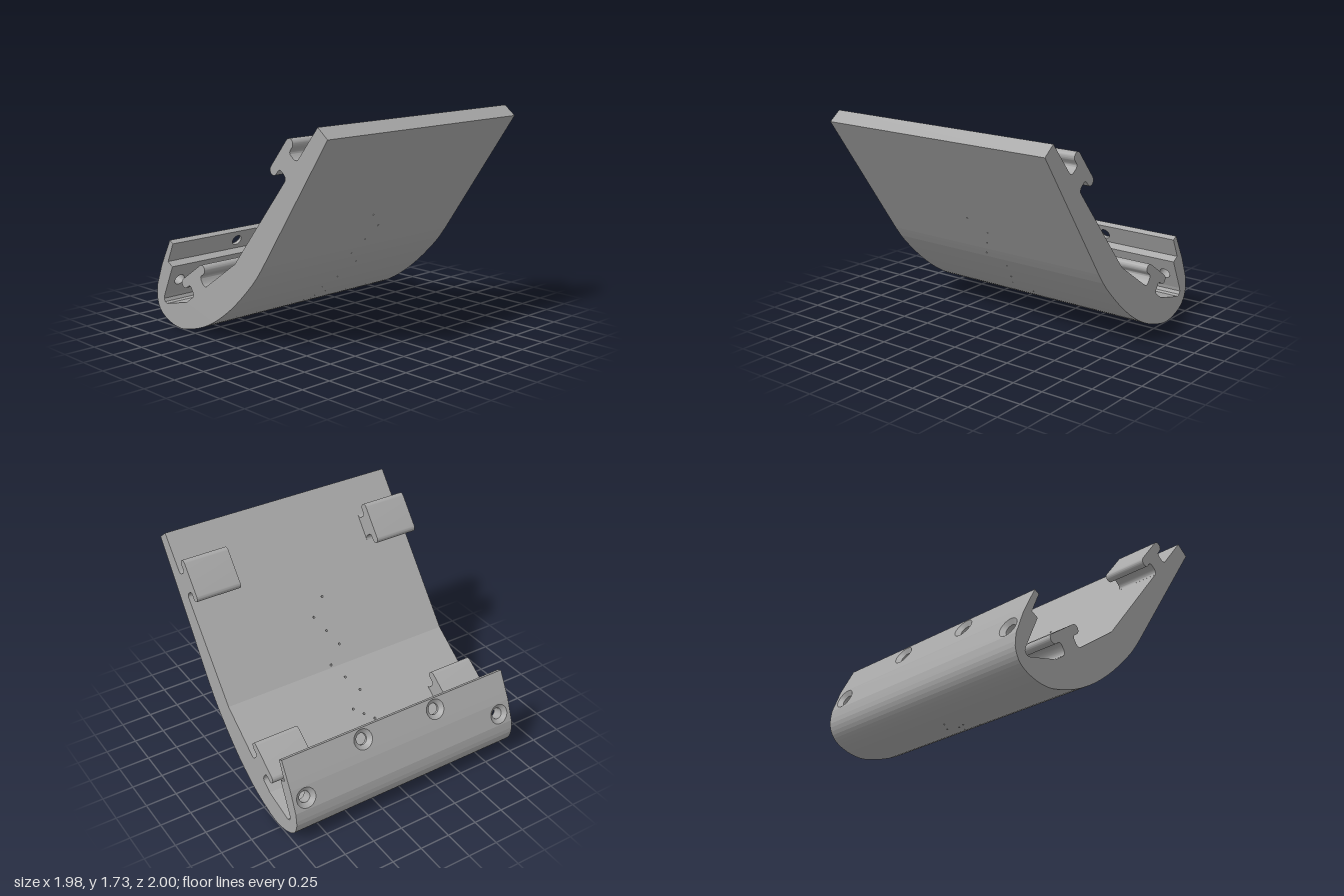
import * as THREE from 'three';
import { mergeGeometries, toCreasedNormals } from 'three/addons/utils/BufferGeometryUtils.js';

const V2 = (x, y) => new THREE.Vector2(x, y);
const HALF = 1; // half the length along z
const SIDES = 20; // sides of every bored hole

// Side profile, counter-clockwise: inner face, lip, then the curved underside
function profilePoints() {
  const inner = [
    [0.89, 1.73], [0, 0.64], [-0.6, 0.228], [-0.86, 0.165], [-0.885, 0.175], [-0.897, 0.2], [-0.89, 0.228],
    [-0.775, 0.48], [-0.83, 0.513], [-0.76, 0.667], [-0.8, 0.69], [-0.885, 0.53], [-0.914, 0.475],
  ].map(p => V2(...p));
  const under = new THREE.SplineCurve([
    [-0.98, 0.305], [-0.99, 0.2], [-0.96, 0.115], [-0.9, 0.058], [-0.8, 0.016], [-0.7, 0], [-0.6, 0.01],
    [-0.4, 0.07], [-0.2, 0.177], [0, 0.33], [0.2, 0.525], [0.31, 0.665],
  ].map(p => V2(...p))).getPoints(33);
  return [...inner, ...under, V2(0.985, 1.655)];
}

// One flat wall per profile edge: start a, direction d, outward normal n
function makeWalls(pts) {
  return pts.map((a, i) => {
    const d = pts[(i + 1) % pts.length].clone().sub(a);
    const length = d.length();
    d.normalize();
    return { a, d, n: V2(d.y, -d.x), length, holes: [] };
  });
}

// Cut a round opening in a wall and return its position along the wall
function punch(wall, u, z, r) {
  const margin = r + 0.002;
  const s = Math.min(Math.max(u, margin), wall.length - margin);
  wall.holes.push({ s, z, r });
  return s;
}

function ring(wall, s, z, r, inset, sign) {
  return Array.from({ length: SIDES }, (_, i) => {
    const t = (i / SIDES) * Math.PI * 2;
    const p = wall.a.clone().addScaledVector(wall.d, s + sign * r * Math.cos(t)).addScaledVector(wall.n, -inset);
    return new THREE.Vector3(p.x, p.y, z + r * Math.sin(t));
  });
}

// Bore from one wall straight through to the opposite one; steps are extra [inset, radius] rings
function drill(walls, wall, u, z, rIn, rOut, steps = []) {
  const s = punch(wall, u, z, rIn);
  const p = wall.a.clone().addScaledVector(wall.d, s);
  const dir = wall.n.clone().negate();
  let best = null;
  for (const w of walls) {
    const denom = dir.dot(w.n);
    if (w === wall || denom < 1e-4) continue;
    const t = w.a.clone().sub(p).dot(w.n) / denom;
    const along = p.clone().addScaledVector(dir, t).sub(w.a).dot(w.d);
    if (t > 0.01 && along >= 0 && along <= w.length && (!best || t < best.t)) best = { w, t, along };
  }
  const sOut = punch(best.w, best.along, z, rOut);
  const rings = [ring(wall, s, z, rIn, 0, 1)];
  for (const [inset, r] of steps) rings.push(ring(wall, s, z, r, inset, 1));
  rings.push(ring(best.w, sOut, z, rOut, 0, Math.sign(best.w.d.dot(wall.d))));
  const index = [];
  for (let k = 0; k < rings.length - 1; k++) {
    for (let i = 0; i < SIDES; i++) {
      const j = (i + 1) % SIDES, a = k * SIDES, b = a + SIDES;
      index.push(a + i, a + j, b + i, a + j, b + j, b + i);
    }
  }
  const g = new THREE.BufferGeometry().setFromPoints(rings.flat());
  g.setIndex(index);
  return toCreasedNormals(g, 0.5);
}

function wallGeometry({ a, d, n, length, holes }) {
  const shape = new THREE.Shape([V2(0, -HALF), V2(length, -HALF), V2(length, HALF), V2(0, HALF)]);
  for (const h of holes) shape.holes.push(new THREE.Path().absarc(h.s, h.z, h.r, 0, Math.PI * 2));
  const m = new THREE.Matrix4().makeBasis(
    new THREE.Vector3(d.x, d.y, 0), new THREE.Vector3(0, 0, 1), new THREE.Vector3(n.x, n.y, 0));
  m.setPosition(a.x, a.y, 0);
  return new THREE.ShapeGeometry(shape, SIDES / 2).applyMatrix4(m);
}

function endCaps(pts) {
  const front = new THREE.ShapeGeometry(new THREE.Shape(pts));
  const back = front.clone().translate(0, 0, -HALF);
  back.setIndex([...front.index.array].reverse());
  back.computeVertexNormals();
  return [front.translate(0, 0, HALF), back];
}

// T-shaped clip with rounded ends, standing on y = 0
function clipGeometry() {
  const s = new THREE.Shape();
  s.moveTo(-0.11, -0.01);
  s.lineTo(0.11, -0.01);
  s.lineTo(0.11, 0);
  s.quadraticCurveTo(0.085, 0, 0.078, 0.035);
  s.lineTo(0.078, 0.07);
  s.quadraticCurveTo(0.08, 0.095, 0.105, 0.095);
  s.absarc(0.13, 0.132, 0.037, -Math.PI / 2, Math.PI / 2, false);
  s.absarc(-0.13, 0.132, 0.037, Math.PI / 2, Math.PI * 1.5, false);
  s.lineTo(-0.105, 0.095);
  s.quadraticCurveTo(-0.08, 0.095, -0.078, 0.07);
  s.lineTo(-0.078, 0.035);
  s.quadraticCurveTo(-0.085, 0, -0.11, 0);
  s.closePath();
  return toCreasedNormals(new THREE.ExtrudeGeometry(s, { depth: 0.37, bevelEnabled: false, curveSegments: 10 }), 0.6);
}

export function createModel() {
  const model = new THREE.Group();
  const grey = new THREE.MeshStandardMaterial({ color: 0xa8a8a8 });
  grey.name = 'grey';
  const add = (name, geometry) => {
    const mesh = new THREE.Mesh(geometry, grey);
    mesh.name = name;
    model.add(mesh);
    return mesh;
  };

  const pts = profilePoints();
  const walls = makeWalls(pts);

  // Countersunk screw holes through the lip: upper pair inboard, lower pair near the ends
  const screws = [];
  for (const [index, z] of [[10, 0.33], [12, 0.89]]) {
    for (const side of [-1, 1]) {
      const w = walls[index];
      screws.push(drill(walls, w, w.length / 2, side * z, 0.08, 0.045, [[0.028, 0.045]]));
    }
  }

  // Three staggered rows of pin holes through the curved body
  const rows = [
    [-0.066, [-0.67, -0.575, -0.47, -0.31, 0.015, 0.27]],
    [0, [-0.75, -0.605, -0.52, -0.365, -0.09, 0.185]],
    [0.066, [-0.635, -0.55, -0.42, -0.205, 0.1, 0.355]],
  ];
  const pins = rows.flatMap(([z, xs]) => xs.map(x => {
    const w = walls[x > 0 ? 0 : x > -0.6 ? 1 : 2];
    return drill(walls, w, (x - w.a.x) / w.d.x, z, 0.009, 0.006);
  }));

  add('body', mergeGeometries([...walls.map(wallGeometry), ...endCaps(pts)]));
  add('screwHoles', mergeGeometries(screws));
  add('pinHoles', mergeGeometries(pins));

  // Two clips at each end, square to the inner face
  const clip = clipGeometry();
  for (const [name, x, y, angle] of [['lowerClip', -0.435, 0.341, 0.595], ['upperClip', 0.6265, 1.408, 0.886]]) {
    for (const z of [-HALF, HALF - 0.37]) {
      const mesh = add(name + (z < 0 ? 'Back' : 'Front'), clip);
      mesh.position.set(x, y, z);
      mesh.rotation.z = angle;
    }
  }
  return model;
}
